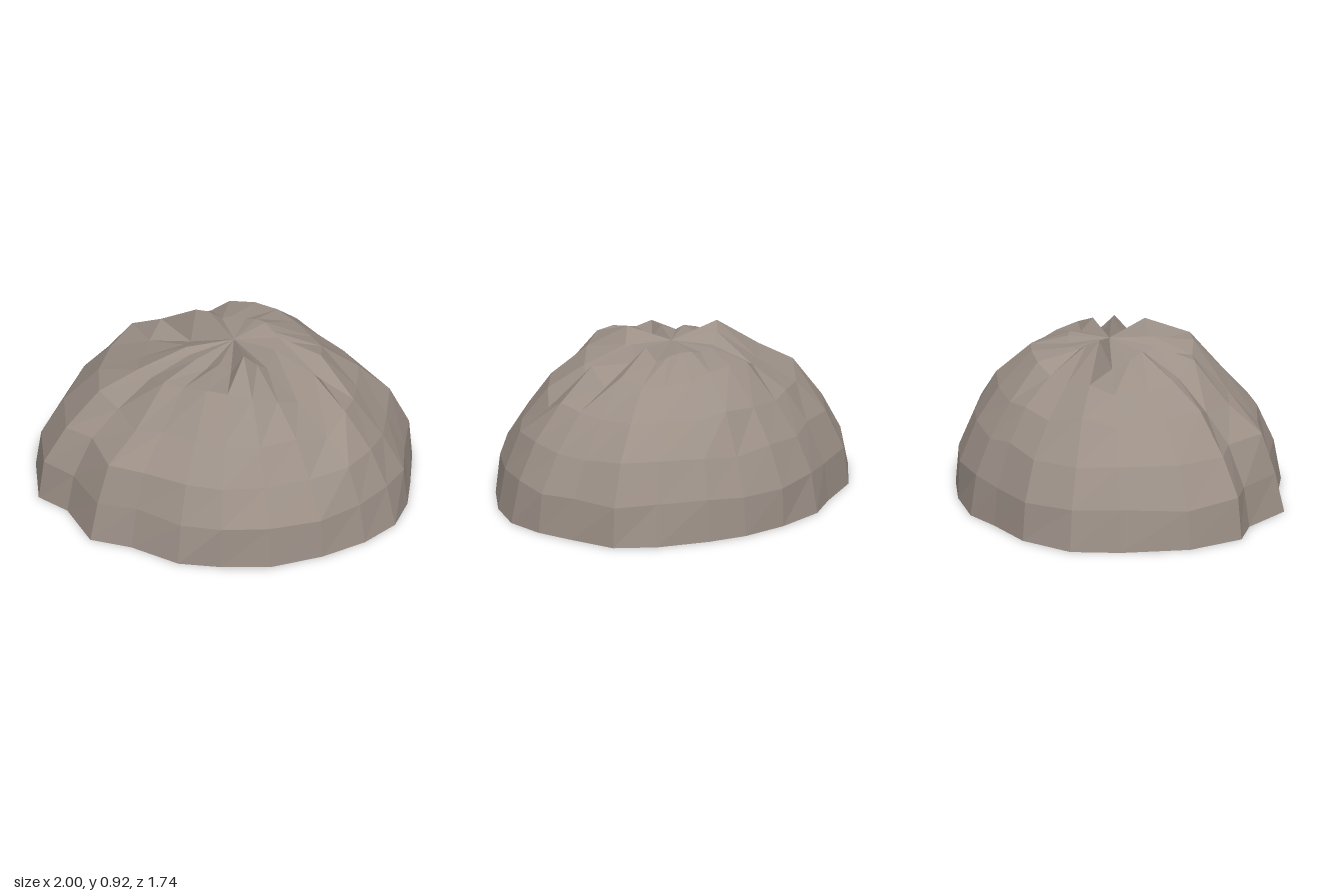
import * as THREE from 'three';

// Ground outline as [x, z], running from +x towards +z
const OUTLINE = [
  [1, 0], [0.99, 0.21], [0.88, 0.41], [0.7, 0.6], [0.46, 0.77], [0.21, 0.84], [-0.02, 0.87], [-0.3, 0.79],
  [-0.53, 0.78], [-0.72, 0.55], [-0.9, 0.47], [-1, 0.17], [-0.97, -0.2], [-0.9, -0.46], [-0.68, -0.67],
  [-0.42, -0.77], [-0.24, -0.86], [0.03, -0.87], [0.28, -0.83], [0.48, -0.75], [0.73, -0.61], [0.9, -0.45], [0.96, -0.2],
];
const APEX = new THREE.Vector3(0.03, 0.845, -0.05);
const RINGS = 6;

// Height offsets per column that form the ridges and grooves, in hundredths
const CROWN = [-4, 4, -5, 1, 9, -2, 3, -4, 2, 0, 3, -3, -5, 9, 7, 0, 2, 0, 2, 2, 0, 0, 5];
const SHOULDER = [-5, 6, -7, -3, 3, 6, 6, 3, 4, 0, -1, -2, -5, 1, -2, 1, 4, 6, 6, 2, 2, 0, 4];
const FLANK = [0, 3, -5, -2, 0, 1, 0, 0, -5, -3, 2, 2, 0, 3, -2, 0, 0, 1, 2, 0, 0, 0, 0];
const OFFSETS = { 3: FLANK, 4: SHOULDER, 5: CROWN };

function seeded(seed) {
  return () => {
    seed = (seed * 16807) % 2147483647;
    return (seed / 2147483647) * 2 - 1;
  };
}

// Dome rings, each a shrunken outline with a little jitter
function buildRings() {
  const rand = seeded(41);
  const rings = [];
  for (let k = 0; k < RINGS; k++) {
    const a = (k / RINGS) * Math.PI / 2;
    rings.push(OUTLINE.map(([x, z], j) => {
      const lift = OFFSETS[k] ? OFFSETS[k][j] / 100 : 0;
      const jitter = k ? 0.02 : 0;
      const s = Math.cos(a) * (1 + rand() * jitter);
      // evens out the outline higher up
      const dx = x - APEX.x, dz = z - APEX.z;
      const r = Math.hypot(dx, dz);
      const even = THREE.MathUtils.lerp(r, 0.93, k * 0.06) / r;
      return new THREE.Vector3(
        APEX.x + dx * s * even,
        Math.sin(a) * 0.85 + lift + rand() * jitter * 0.7,
        APEX.z + dz * s * even,
      );
    }));
  }
  return rings;
}

function meshFrom(points, material, name) {
  const geometry = new THREE.BufferGeometry().setFromPoints(points);
  geometry.computeVertexNormals();
  const mesh = new THREE.Mesh(geometry, material);
  mesh.name = name;
  return mesh;
}

export function createModel() {
  const group = new THREE.Group();
  group.name = 'rock';
  const stone = new THREE.MeshStandardMaterial({ color: 0x9c9087 });
  stone.name = 'warm grey stone';
  stone.flatShading = true;

  const rings = buildRings();
  const n = OUTLINE.length;
  const shell = [], base = [];
  const centre = new THREE.Vector3(APEX.x, 0, APEX.z);

  for (let j = 0; j < n; j++) {
    const i = (j + 1) % n;
    // side facets
    for (let k = 0; k < RINGS - 1; k++) {
      const a = rings[k][j], b = rings[k][i], c = rings[k + 1][i], d = rings[k + 1][j];
      shell.push(a, d, b, b, d, c);
    }
    // crown facets meeting at the apex
    shell.push(rings[RINGS - 1][j], APEX, rings[RINGS - 1][i]);
    // flat underside
    base.push(centre, rings[0][j], rings[0][i]);
  }

  group.add(meshFrom(shell, stone, 'rockDome'), meshFrom(base, stone, 'rockUnderside'));
  return group;
}
